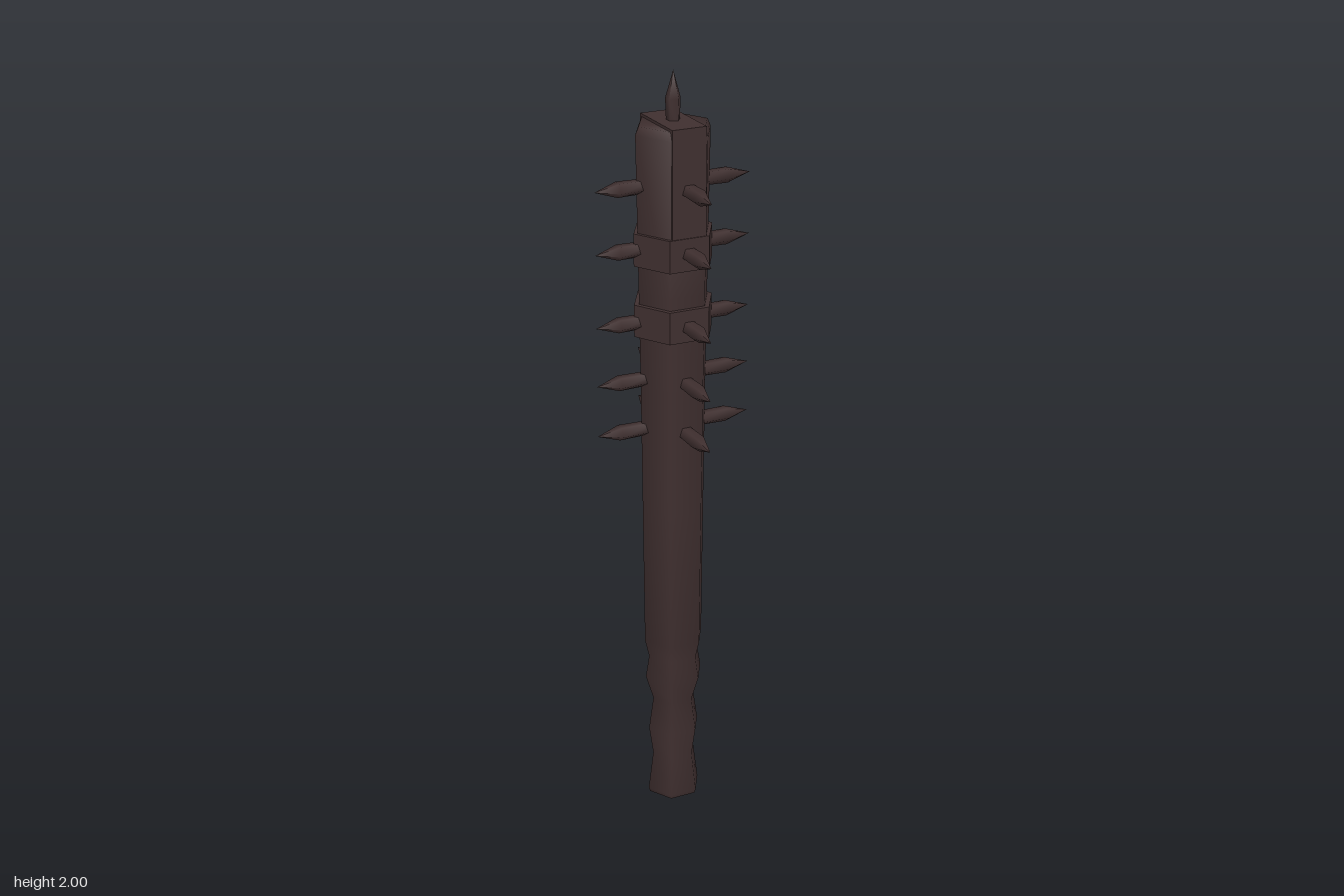
import * as THREE from 'three';
import { toCreasedNormals } from 'three/addons/utils/BufferGeometryUtils.js';

const darkWood = new THREE.MeshStandardMaterial({ color: 0x3f2f2f });
darkWood.name = 'darkWood';

// Turned solid from [radius, y] pairs, first corner on +x
function turned(profile, sides, crease) {
  const pts = profile.map(([r, y]) => new THREE.Vector2(r, y));
  return toCreasedNormals(new THREE.LatheGeometry(pts, sides, Math.PI / 2), crease);
}

function add(parent, name, geometry) {
  const mesh = new THREE.Mesh(geometry, darkWood);
  mesh.name = name;
  parent.add(mesh);
  return mesh;
}

export function createModel() {
  const club = new THREE.Group();
  club.name = 'spikedClub';

  // Six-sided shaft with a wavy grip and a chamfered top
  add(club, 'shaft', turned([
    [0, 0], [0.07, 0], [0.074, 0.012], [0.06, 0.12], [0.072, 0.2], [0.059, 0.29],
    [0.081, 0.36], [0.071, 0.42], [0.083, 0.47], [0.087, 0.85], [0.091, 1.2],
    [0.095, 1.45], [0.102, 1.85], [0.093, 1.87], [0, 1.87],
  ], 6, 1.2));

  // Raised slab through the head
  add(club, 'headSlab', new THREE.BoxGeometry(0.092, 0.325, 0.182)).position.y = 1.7145;

  // Hexagonal bands
  for (const y of [1.56, 1.375]) {
    const band = new THREE.CylinderGeometry(0.108, 0.108, 0.084, 6, 1, false, Math.PI / 2);
    add(club, 'band', toCreasedNormals(band, 0.5)).position.y = y;
  }

  // Rings of four spikes
  const spike = turned([[0, 0.05], [0.019, 0.05], [0.021, 0.15], [0, 0.212]], 5, 1.4);
  spike.rotateZ(-Math.PI / 2);
  for (const y of [1.08, 1.215, 1.37, 1.56, 1.72]) {
    const ring = new THREE.Group();
    ring.name = 'spikeRing';
    ring.position.y = y;
    for (let i = 0; i < 4; i++) add(ring, 'spike', spike).rotation.y = i * Math.PI / 2;
    club.add(ring);
  }

  // Spike on top
  add(club, 'topSpike', turned([[0, 1.85], [0.017, 1.85], [0.02, 1.93], [0, 2]], 5, 1.4));
  return club;
}
